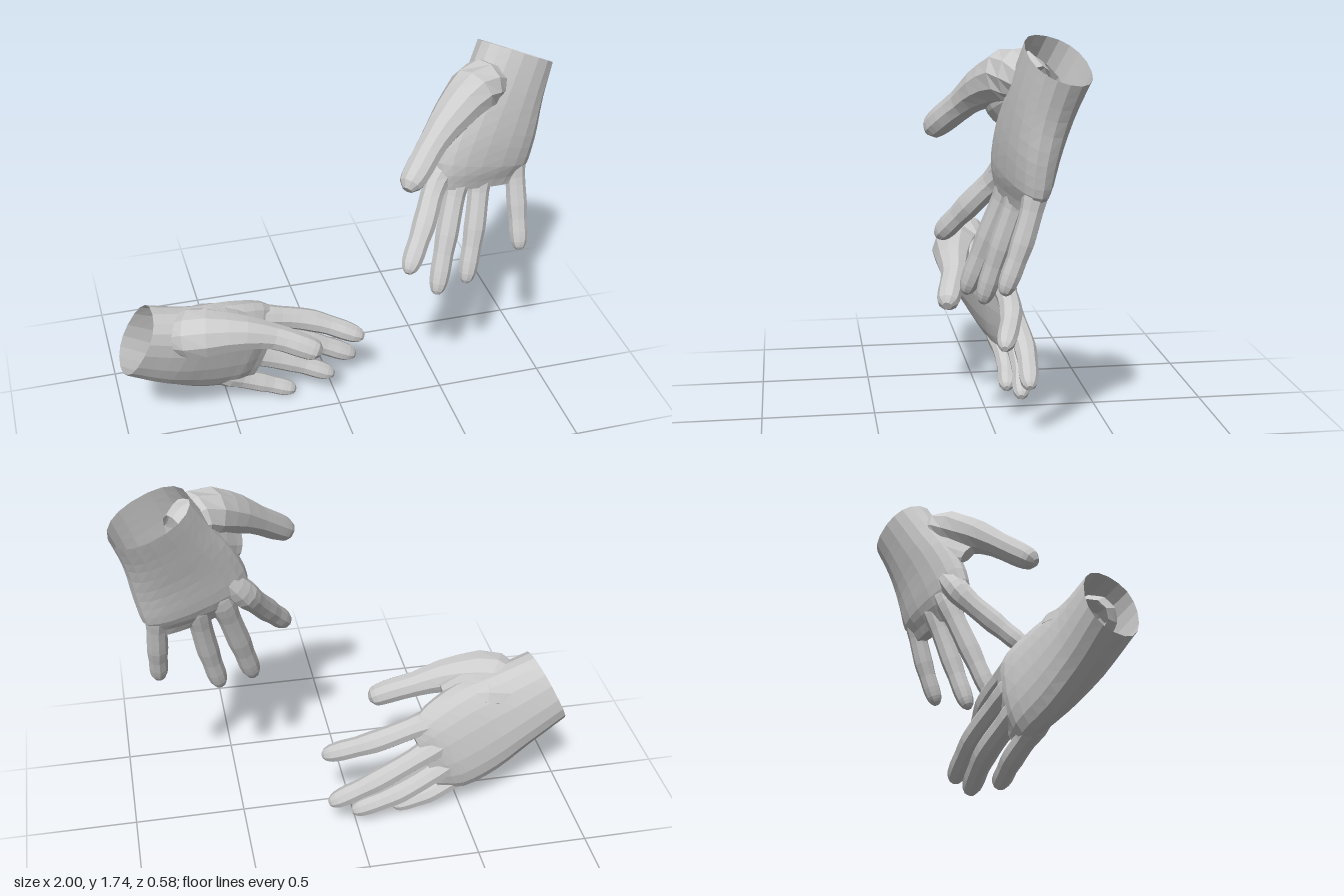
import * as THREE from 'three';

const V = (a) => new THREE.Vector3(a[0], a[1], a[2]);
const material = new THREE.MeshStandardMaterial({
  color: 0xcccccc, flatShading: true, side: THREE.DoubleSide,
});

// Lofts rounded rings along stations [x, y, z, halfWidth, halfThickness].
// sideA / sideB: width direction at the first and last ring.
function loft(name, stations, sideA, sideB, rings, segs, power = 1) {
  const path = new THREE.CatmullRomCurve3(stations.map(V));
  const size = new THREE.CatmullRomCurve3(
    stations.map((s) => new THREE.Vector3(s[3], s[4] ?? s[3], 0)), false, 'catmullrom', 0.4);
  const soft = (v) => Math.sign(v) * Math.abs(v) ** power;
  const pos = [], index = [];
  for (let i = 0; i <= rings; i++) {
    const k = i / rings;
    const c = path.getPoint(k), r = size.getPoint(k), t = path.getTangent(k);
    const s = V(sideA).lerp(V(sideB), k);
    s.addScaledVector(t, -s.dot(t)).normalize();
    const n = t.clone().cross(s);
    for (let j = 0; j < segs; j++) {
      const a = (j / segs) * Math.PI * 2;
      const p = c.clone().addScaledVector(s, r.x * soft(Math.cos(a)))
        .addScaledVector(n, r.y * soft(Math.sin(a)));
      pos.push(p.x, p.y, p.z);
    }
  }
  for (let i = 0; i < rings; i++) {
    for (let j = 0; j < segs; j++) {
      const a = i * segs + j, b = i * segs + (j + 1) % segs;
      index.push(a, b, b + segs, a, b + segs, a + segs);
    }
  }
  // Close the far end; the near end stays open
  const tip = path.getPoint(1), last = rings * segs;
  pos.push(tip.x, tip.y, tip.z);
  for (let j = 0; j < segs; j++) index.push(last + j, last + (j + 1) % segs, last + segs);
  const geo = new THREE.BufferGeometry();
  geo.setAttribute('position', new THREE.Float32BufferAttribute(pos, 3));
  geo.setIndex(index);
  geo.computeVertexNormals();
  const mesh = new THREE.Mesh(geo, material);
  mesh.name = name;
  return mesh;
}

// Finger profile from the root inside the palm: position and relative radius
const PROFILE = [[0, 0.8], [0.18, 1.15], [0.33, 1.25], [0.46, 1.06], [0.58, 1.06], [0.68, 1.08],
  [0.78, 0.96], [0.87, 0.97], [0.94, 0.86], [0.98, 0.62], [1, 0.3]];

function finger(name, points, radius, side) {
  const curve = new THREE.CatmullRomCurve3(points.map(V));
  const stations = PROFILE.map(([k, s]) => [...curve.getPoint(k).toArray(), radius * s]);
  return loft(name, stations, side, side, 20, 9);
}

function hand(name, spec) {
  const g = new THREE.Group();
  g.name = name;
  g.add(loft('palm', spec.palm, spec.wristSide, spec.knuckleSide, 12, 18, 0.88));
  g.add(loft('thumb', spec.thumb, [0, 0, 1], [0, 0, 1], 14, 10));
  g.add(loft('thumbWeb', spec.web, spec.webSide, spec.webSide, 6, 10));
  const radii = { indexFinger: 0.049, middleFinger: 0.048, ringFinger: 0.046, littleFinger: 0.043 };
  for (const [key, radius] of Object.entries(radii)) {
    g.add(finger(key, spec[key], radius, spec.knuckleSide));
  }
  return g;
}

// Hand hanging down, fingers spread
const UPPER = {
  wristSide: [0.9, -0.42, -0.08],
  knuckleSide: [0.96, -0.08, -0.25],
  palm: [
    [0.83, 1.67, -0.16, 0.18, 0.13],
    [0.77, 1.53, -0.115, 0.195, 0.118],
    [0.705, 1.36, -0.07, 0.23, 0.1],
    [0.66, 1.21, -0.045, 0.24, 0.08],
    [0.645, 1.1, -0.025, 0.19, 0.035],
  ],
  thumb: [
    [0.73, 1.57, -0.1, 0.07], [0.62, 1.595, -0.03, 0.11], [0.48, 1.535, 0.065, 0.088],
    [0.37, 1.455, 0.14, 0.064], [0.28, 1.375, 0.215, 0.06], [0.235, 1.335, 0.25, 0.051],
    [0.215, 1.315, 0.268, 0.022],
  ],
  webSide: [-0.02, 0.8, 0.6],
  web: [
    [0.72, 1.58, -0.13, 0.1, 0.07], [0.6, 1.5, -0.06, 0.12, 0.07],
    [0.52, 1.45, 0, 0.1, 0.05], [0.46, 1.42, 0.03, 0.06, 0.025],
  ],
  indexFinger: [[0.56, 1.33, -0.06], [0.45, 1.19, -0.015], [0.35, 1.03, 0.11], [0.24, 0.87, 0.235]],
  middleFinger: [[0.61, 1.33, -0.065], [0.55, 1.17, -0.03], [0.48, 0.93, 0.05], [0.41, 0.665, 0.14]],
  ringFinger: [[0.69, 1.32, -0.08], [0.66, 1.16, -0.05], [0.62, 0.92, 0.02], [0.565, 0.665, 0.09]],
  littleFinger: [[0.79, 1.32, -0.1], [0.825, 1.17, -0.08], [0.835, 0.98, -0.03], [0.835, 0.77, 0.045]],
};

// Hand reaching sideways, thumb on top
const LOWER = {
  wristSide: [0.43, 0.88, 0.22],
  knuckleSide: [0.46, 0.88, 0],
  palm: [
    [-0.925, 0.55, -0.025, 0.18, 0.125],
    [-0.75, 0.47, -0.05, 0.21, 0.12],
    [-0.575, 0.405, -0.095, 0.245, 0.105],
    [-0.42, 0.35, -0.14, 0.24, 0.085],
    [-0.32, 0.31, -0.155, 0.19, 0.035],
  ],
  thumb: [
    [-0.79, 0.55, -0.04, 0.07], [-0.67, 0.59, 0.045, 0.115], [-0.48, 0.585, 0.085, 0.083],
    [-0.33, 0.545, 0.1, 0.06], [-0.22, 0.5, 0.13, 0.057], [-0.155, 0.468, 0.148, 0.05],
    [-0.13, 0.455, 0.155, 0.022],
  ],
  webSide: [0, 0.1, 1],
  web: [
    [-0.78, 0.55, -0.05, 0.1, 0.07], [-0.62, 0.585, -0.03, 0.12, 0.07],
    [-0.52, 0.59, -0.03, 0.1, 0.05], [-0.43, 0.57, -0.03, 0.06, 0.025],
  ],
  indexFinger: [[-0.48, 0.5, -0.115], [-0.34, 0.49, -0.13], [-0.1, 0.42, -0.135], [0.135, 0.325, -0.07]],
  middleFinger: [[-0.5, 0.43, -0.125], [-0.36, 0.37, -0.165], [-0.1, 0.25, -0.2], [0.125, 0.135, -0.185]],
  ringFinger: [[-0.54, 0.34, -0.12], [-0.42, 0.265, -0.165], [-0.2, 0.155, -0.195], [0.015, 0.055, -0.165]],
  littleFinger: [[-0.6, 0.26, -0.11], [-0.5, 0.175, -0.135], [-0.35, 0.095, -0.15], [-0.185, 0.03, -0.13]],
};

export function createModel() {
  const model = new THREE.Group();
  model.name = 'pairOfHands';
  model.add(hand('upperHand', UPPER), hand('lowerHand', LOWER));
  return model;
}
